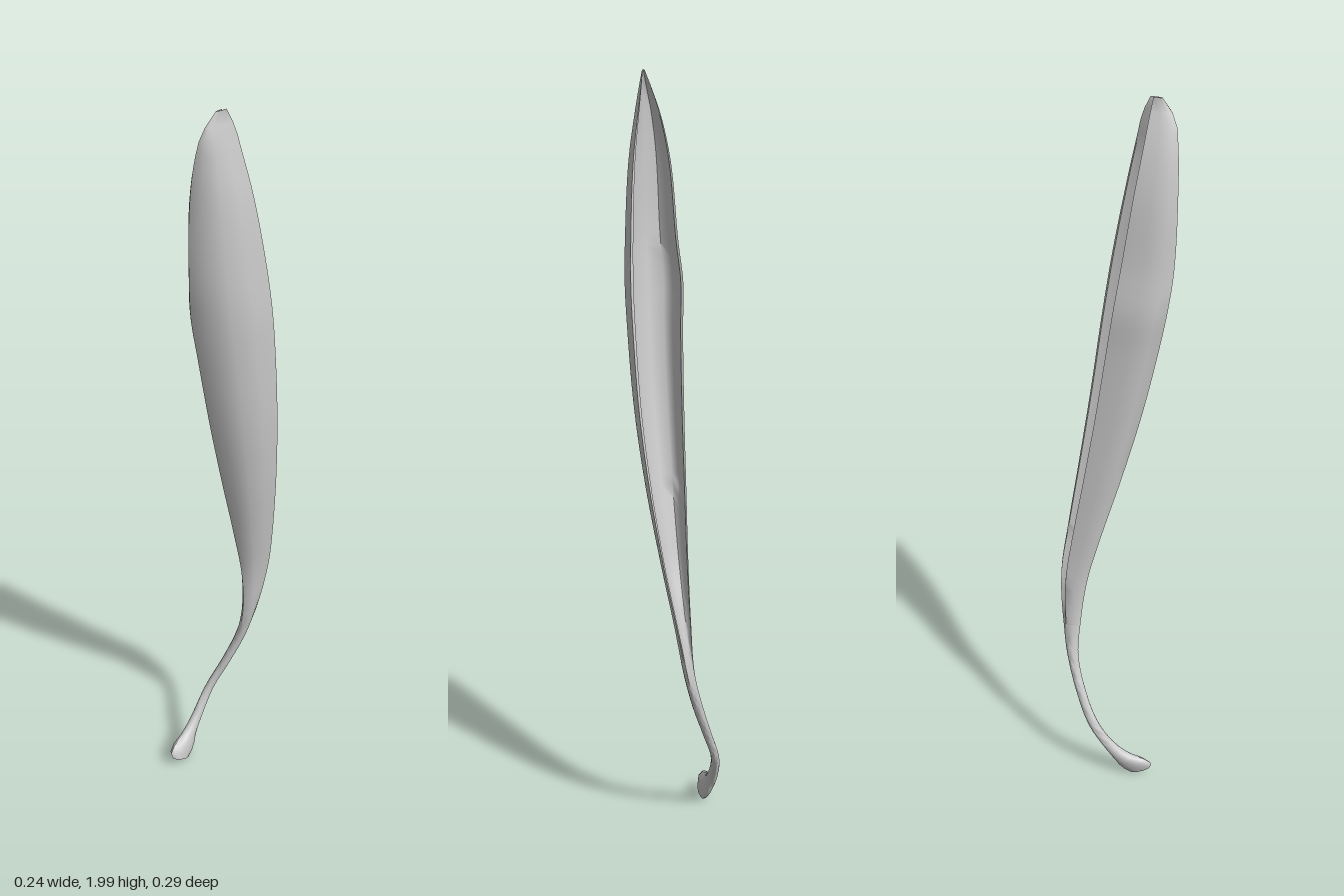
import * as THREE from 'three';
import { toCreasedNormals } from 'three/addons/utils/BufferGeometryUtils.js';

// Stations up the leaf: y, xMin, xMax, zMin, zMax, tilt, cupping (0 round, 1 cupped)
const stations = [
  [0.025, -0.102, -0.077, 0.075, 0.135, 0.5, 0],
  [0.05, -0.112, -0.079, 0.049, 0.135, 0.4, 0],
  [0.075, -0.118, -0.086, 0.036, 0.086, 0.5, 0],
  [0.11, -0.121, -0.092, 0.013, 0.045, 0.5, 0],
  [0.2, -0.117, -0.094, -0.042, -0.014, 0.3, 0],
  [0.3, -0.089, -0.064, -0.085, -0.058, 0.1, 0],
  [0.4, -0.06, -0.032, -0.115, -0.084, 0, 0],
  [0.5, -0.037, -0.007, -0.134, -0.082, 0, 0.15],
  [0.65, -0.026, 0.02, -0.144, -0.064, 0, 0.7],
  [0.8, -0.022, 0.048, -0.127, -0.028, 0, 1],
  [1.0, -0.021, 0.082, -0.101, 0.026, 0, 1],
  [1.2, -0.02, 0.106, -0.075, 0.075, 0, 1],
  [1.4, -0.021, 0.118, -0.05, 0.115, 0, 1],
  [1.5, -0.024, 0.121, -0.036, 0.132, 0, 1],
  [1.6, -0.013, 0.118, -0.02, 0.143, 0, 1],
  [1.8, 0.004, 0.104, 0.018, 0.146, 0, 1],
  [1.9, 0.026, 0.088, 0.04, 0.141, 0, 1],
  [1.96, 0.047, 0.077, 0.054, 0.13, 0, 1],
  [2.0, 0.063, 0.069, 0.072, 0.1, 0, 1],
];
const spline = new THREE.CubicInterpolant(
  stations.map((s) => s[0]), stations.flatMap((s) => s.slice(1)), 6, new Float32Array(6));

// Cupped section, open to the back, in unit coordinates: outer face, then back along the inner face
const cup = [
  [0.02, 0.26], [0, 0.58], [0.06, 0.86], [0.25, 1], [0.58, 0.95], [0.86, 0.73], [1, 0.4], [0.94, 0],
  [0.89, 0.03], [0.92, 0.4], [0.78, 0.66], [0.54, 0.85], [0.27, 0.89], [0.13, 0.79], [0.07, 0.57], [0.06, 0.28],
];
const N = cup.length;
const half = N / 2;

// Matching round section
const round = cup.map((_, k) => {
  const deg = k < half ? 195 - (255 * k) / (half - 1) : -60 - (105 * (k - half + 1)) / (half + 1);
  const a = THREE.MathUtils.degToRad(deg);
  return [0.5 + 0.5 * Math.cos(a), 0.5 + 0.5 * Math.sin(a)];
});

function section(y) {
  const [x0, x1, z0, z1, tilt, c] = spline.evaluate(y);
  const cupping = THREE.MathUtils.clamp(c, 0, 1);
  return cup.map((p, k) => {
    const u = THREE.MathUtils.lerp(round[k][0], p[0], cupping);
    const v = THREE.MathUtils.lerp(round[k][1], p[1], cupping);
    return [x0 + u * (x1 - x0), y + tilt * (v - 0.5) * (z1 - z0), z0 + v * (z1 - z0)];
  });
}

// Skin the sections between two heights and close both ends
function skin(name, yStart, yEnd, rows) {
  const positions = [], index = [];
  for (let i = 0; i <= rows; i++) {
    positions.push(...section(yStart + ((yEnd - yStart) * i) / rows).flat());
  }
  for (let i = 0; i < rows; i++) {
    for (let j = 0; j < N; j++) {
      const a = i * N + j, b = i * N + ((j + 1) % N);
      index.push(a, b, a + N, b, b + N, a + N);
    }
  }
  const top = rows * N;
  for (let j = 0; j < half - 1; j++) {
    const a = j, b = j + 1, c = N - 2 - j, d = N - 1 - j;
    index.push(a, d, c, a, c, b);
    index.push(top + a, top + c, top + d, top + a, top + b, top + c);
  }
  const geometry = new THREE.BufferGeometry();
  geometry.setAttribute('position', new THREE.Float32BufferAttribute(positions, 3));
  geometry.setIndex(index);
  const material = new THREE.MeshStandardMaterial({ color: 0xcccccc, side: THREE.DoubleSide });
  const mesh = new THREE.Mesh(toCreasedNormals(geometry, 0.9), material);
  mesh.name = name;
  return mesh;
}

export function createModel() {
  const group = new THREE.Group();
  group.name = 'leaf';
  group.add(skin('stalk', 0.025, 0.5, 28));
  group.add(skin('blade', 0.5, 2.0, 50));
  return group;
}
